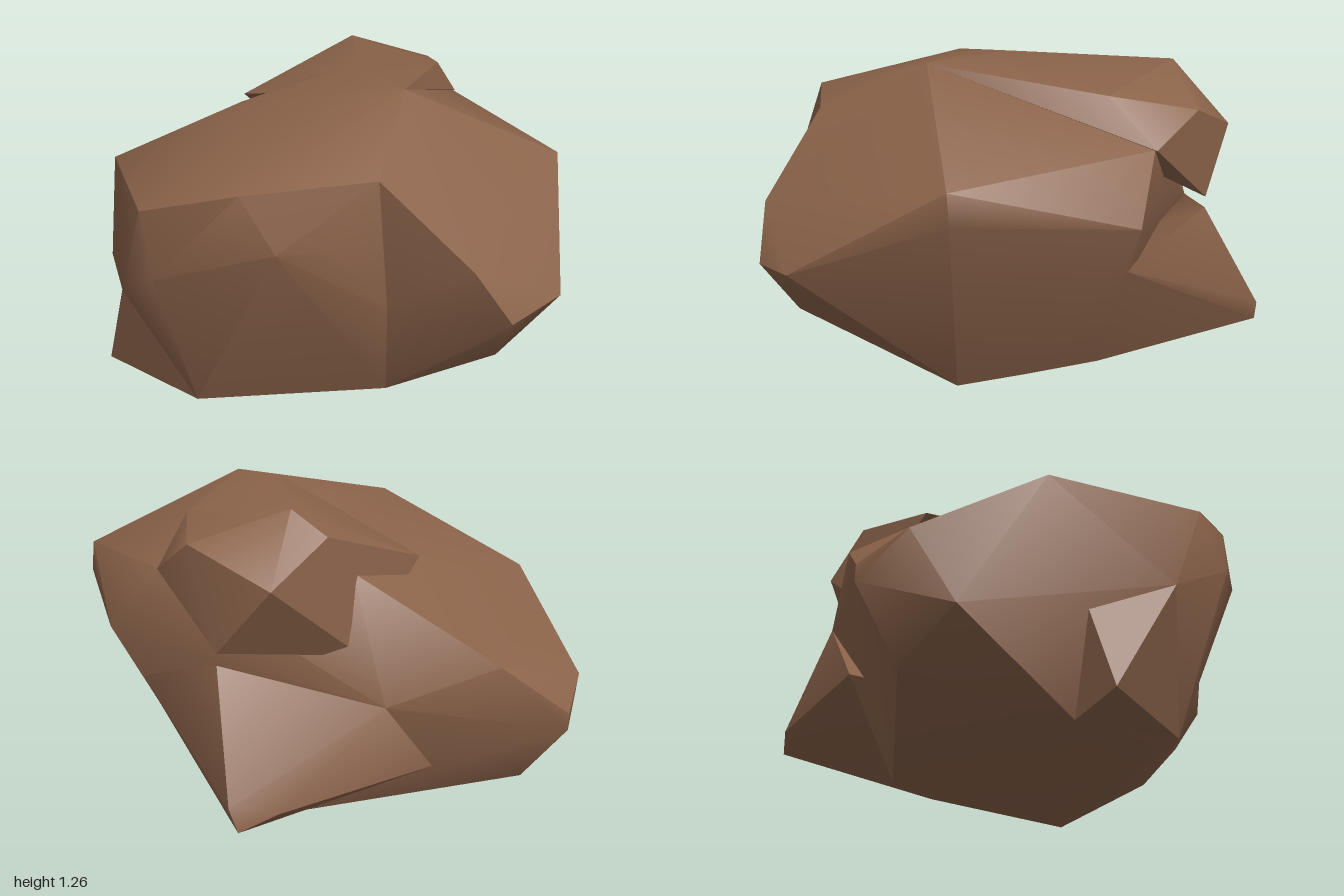
import * as THREE from 'three';
import { toCreasedNormals } from 'three/addons/utils/BufferGeometryUtils.js';
import { ConvexGeometry } from 'three/addons/geometries/ConvexGeometry.js';

const brownStone = new THREE.MeshStandardMaterial({ color: 0x8a6249 });
brownStone.name = 'brown stone';

// A faceted lump: hull of a few corners, with soft shading across shallow edges
function lump(name, corners) {
  const hull = new ConvexGeometry(corners.map((c) => new THREE.Vector3(...c)));
  const mesh = new THREE.Mesh(toCreasedNormals(hull, 0.65), brownStone);
  mesh.name = name;
  return mesh;
}

export function createModel() {
  const rock = new THREE.Group();
  rock.name = 'rock';

  // Main mass
  rock.add(lump('boulderBody', [
    // top
    [0.36, 1.245, -0.07], [0.04, 1.26, -0.12], [-0.05, 1.175, 0.34], [-0.2, 1.2, -0.35],
    // right shoulder
    [0.42, 1.04, 0.65], [0.62, 1.06, 0.25], [0.53, 0.86, 0.59], [0.6, 0.85, 0.41],
    [0.64, 0.6, 0.22],
    // front
    [0.06, 0.91, 0.82], [0.16, 0.7, 0.84], [-0.11, 0.55, 0.83], [0.07, 0.11, 0.65],
    [-0.5, 0.9, 0.64], [-0.39, 0.42, 0.69], [-0.36, 0.08, 0.6],
    // left tip and side
    [-0.92, 0.6, 0.47], [-1, 0.51, 0.31], [-1, 0.45, 0.31], [-0.8, 0.35, 0.56],
    [-0.82, 0.22, 0.3], [-0.89, 0.7, 0.07], [-0.72, 0.6, -0.3], [-0.56, 1.02, -0.3],
    // back
    [-0.1, 1.02, -0.74], [0.05, 0.81, -0.85], [0.62, 0.98, -0.59], [0.62, 0.87, -0.6],
    // underside
    [0.5, 0.17, 0.1], [0.36, 0.04, -0.23], [0.07, 0, -0.05], [-0.05, 0.02, 0.45],
    [0.15, 0.09, -0.38], [-0.08, 0.135, -0.52], [-0.35, 0.12, -0.4],
  ]));

  // Blunt tip on the right-hand end
  rock.add(lump('sideTip', [
    [1, 0.63, 0], [1, 0.67, -0.22], [0.92, 0.81, 0.1], [0.95, 0.57, 0], [0.89, 0.45, -0.05],
    [0.62, 1.06, 0.25], [0.64, 0.6, 0.22], [0.5, 0.17, 0.1], [0.36, 0.04, -0.23],
    [0.62, 0.98, -0.59], [0.62, 0.87, -0.6], [0.36, 1.245, -0.07], [0.15, 0.09, -0.38],
  ]));

  // Ridge running back from the summit to an overhanging corner
  rock.add(lump('upperRidge', [
    [0.36, 1.245, -0.07], [0.04, 1.26, -0.12], [-0.03, 1.18, -0.58], [-0.28, 1.13, -0.75],
    [-0.44, 1.23, -0.46], [-0.56, 1.15, -0.41], [-0.56, 1.01, -0.64], [-0.1, 1.02, -0.75],
    [-0.38, 0.79, -0.72], [-0.55, 1.03, 0.02], [-0.6, 0.75, -0.3],
  ]));

  // Jutting spur on the lower back corner
  rock.add(lump('lowerSpur', [
    [-0.58, 0.36, -0.83], [-0.6, 0.28, -0.81], [-0.66, 0.33, -0.7], [-0.38, 0.75, -0.72],
    [-0.72, 0.6, -0.3], [-0.08, 0.135, -0.52], [0.02, 0.62, -0.75], [-0.35, 0.12, -0.4],
    [-0.75, 0.35, -0.1], [0, 0.5, -0.3],
  ]));

  // Small wedge at the front foot
  rock.add(lump('frontWedge', [
    [-0.37, 0.13, 0.79], [-0.39, 0.42, 0.7], [-0.11, 0.55, 0.83], [0.07, 0.11, 0.65],
    [-0.36, 0.08, 0.6], [-0.05, 0.3, 0.4],
  ]));

  return rock;
}
